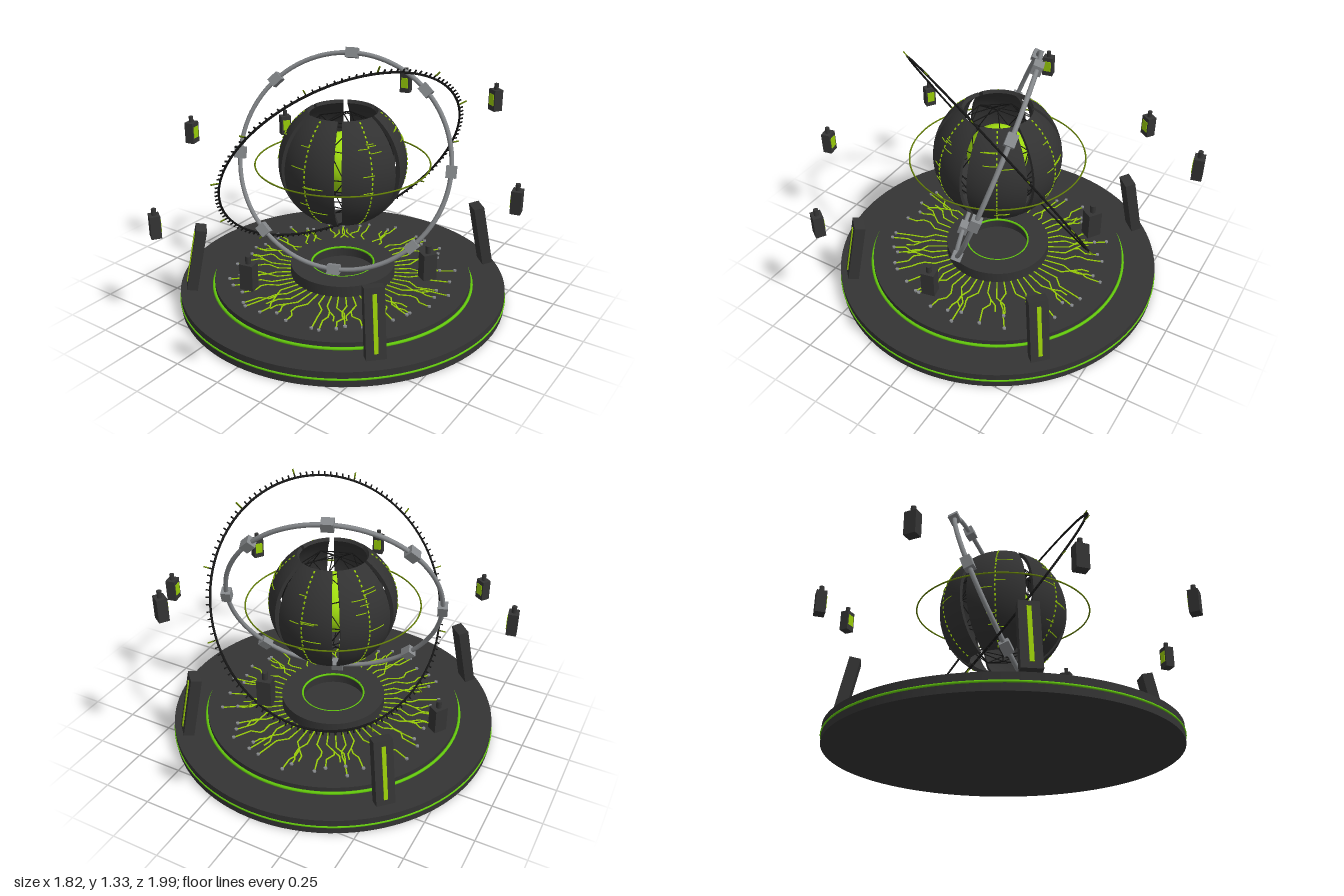
import * as THREE from 'three';
import { mergeGeometries, toCreasedNormals } from 'three/addons/utils/BufferGeometryUtils.js';

const mat = (name, color, side = THREE.FrontSide) => {
  const m = new THREE.MeshStandardMaterial({ color, side });
  m.name = name;
  return m;
};
const V = (x, y, z) => new THREE.Vector3(x, y, z);

// Small seeded random source
let seed = 7;
const rnd = (a = 0, b = 1) => {
  seed = (seed * 16807) % 2147483647;
  return a + (b - a) * (seed / 2147483647);
};

// Thin rod between two points
function rod(a, b, r, sides = 4) {
  const d = b.clone().sub(a);
  const g = new THREE.CylinderGeometry(r, r, d.length(), sides);
  g.applyQuaternion(new THREE.Quaternion().setFromUnitVectors(V(0, 1, 0), d.normalize()));
  const m = a.clone().add(b).multiplyScalar(0.5);
  return g.translate(m.x, m.y, m.z);
}

export function createModel() {
  const dark = mat('charcoal', 0x343434);
  const shellMat = mat('shell grey', 0x323232, THREE.DoubleSide);
  const black = mat('black', 0x161616);
  const steel = mat('steel grey', 0x85888b);
  const lime = mat('lime green', 0x62c80c);
  const leaf = mat('yellow green', 0x98cc08);
  const glow = mat('core green', 0xa2e010);
  const olive = mat('olive green', 0x647f08);

  const model = new THREE.Group();
  const add = (name, geo, material, parent = model) => {
    const m = new THREE.Mesh(geo, material);
    m.name = name;
    parent.add(m);
    return m;
  };
  const group = (name, parent = model) => {
    const g = new THREE.Group();
    g.name = name;
    parent.add(g);
    return g;
  };
  const flatRing = (r, t, y) => new THREE.TorusGeometry(r, t, 8, 96).rotateX(Math.PI / 2).translate(0, y, 0);

  // Base tiers and glowing rims
  add('baseDisc', new THREE.CylinderGeometry(0.86, 0.86, 0.08, 96).translate(0, 0.04, 0), dark);
  add('baseTier', new THREE.CylinderGeometry(0.68, 0.68, 0.035, 96).translate(0, 0.0975, 0), dark);
  add('baseRim', flatRing(0.859, 0.006, 0.04), lime);
  add('tierRim', flatRing(0.686, 0.008, 0.085), lime);
  const collar = [[0.17, 0.115], [0.277, 0.115], [0.277, 0.175], [0.17, 0.175], [0.17, 0.115]]
    .map(([x, y]) => new THREE.Vector2(x, y));
  add('pedestal', toCreasedNormals(new THREE.LatheGeometry(collar, 64), 0.6), dark);
  add('pedestalRim', flatRing(0.166, 0.006, 0.17), lime);

  // Circuit traces on the tier, each ending in a round pad
  const traces = [], pads = [];
  const polar = (r, a) => V(r * Math.sin(a), 0.1165, r * Math.cos(a));
  const trace = (pts) => pts.slice(1).forEach((p, i) => {
    const d = p.clone().sub(pts[i]), mid = p.clone().add(pts[i]).multiplyScalar(0.5);
    traces.push(new THREE.BoxGeometry(0.007, 0.004, d.length() + 0.004)
      .rotateY(Math.atan2(d.x, d.z)).translate(mid.x, mid.y, mid.z));
  });
  const COUNT = 48;
  for (let i = 0; i < COUNT; i++) {
    const a = (i / COUNT) * Math.PI * 2, jog = rnd() < 0.5 ? -1 : 1;
    const r1 = rnd(0.35, 0.4), r2 = r1 + 0.05, r3 = r2 + rnd(0.02, 0.05), end = rnd(0.52, 0.61);
    const a2 = a + jog * rnd(0.05, 0.1), a3 = a2 - jog * rnd(0, 0.08);
    trace([polar(0.28, a), polar(r1, a), polar(r2, a2), polar(r3, a2), polar(r3 + 0.035, a3), polar(end, a3)]);
    const p = polar(end, a3);
    pads.push(new THREE.CylinderGeometry(0.009, 0.009, 0.008, 10).translate(p.x, 0.119, p.z));
    if (i % 3 === 0) trace([polar(r2, a2), polar(r2 + 0.04, a2 + jog * 0.06), polar(r2 + 0.08, a2 + jog * 0.06)]);
  }
  add('circuitTraces', mergeGeometries(traces), leaf);
  add('circuitPads', mergeGeometries(pads), steel);

  // Four pillars leaning inward
  for (let i = 0; i < 4; i++) {
    const arm = group('pillar', group('pillarMount'));
    arm.parent.rotation.y = Math.PI / 4 + i * Math.PI / 2;
    arm.position.set(0, 0.272, 0.765);
    arm.rotation.x = -0.2;
    add('pillarBody', new THREE.BoxGeometry(0.095, 0.34, 0.055), dark, arm);
    add('pillarStrip', new THREE.BoxGeometry(0.02, 0.28, 0.006).translate(0, 0, 0.029), leaf, arm);
  }

  // Sphere: glowing core inside a wire cage
  const sphere = group('sphere');
  sphere.position.y = 0.745;
  add('core', new THREE.SphereGeometry(0.155, 32, 20), glow, sphere);
  const ico = new THREE.IcosahedronGeometry(0.265, 1).rotateZ(Math.atan(2 / (1 + Math.sqrt(5))));
  const ends = new THREE.EdgesGeometry(ico, 1).attributes.position;
  const rods = [];
  for (let i = 0; i < ends.count; i += 2) {
    rods.push(rod(new THREE.Vector3().fromBufferAttribute(ends, i),
      new THREE.Vector3().fromBufferAttribute(ends, i + 1), 0.0028));
  }
  add('wireCage', mergeGeometries(rods), black, sphere);

  // Six curved shell panels with gaps between them
  const R = 0.327, RI = 0.308, LAT = 1.0, HALF = 0.462;
  const profile = [];
  for (let i = 0; i <= 20; i++) {
    const t = -LAT + (i / 20) * 2 * LAT;
    profile.push(new THREE.Vector2(R * Math.cos(t), R * Math.sin(t)));
  }
  for (let i = 0; i <= 20; i++) {
    const t = LAT - (i / 20) * 2 * LAT;
    profile.push(new THREE.Vector2(RI * Math.cos(t), RI * Math.sin(t)));
  }
  const side = new THREE.ShapeGeometry(new THREE.Shape(profile));
  const panelGeo = toCreasedNormals(
    new THREE.LatheGeometry([...profile, profile[0].clone()], 14, -HALF, HALF * 2), 0.6);
  for (let k = 0; k < 6; k++) {
    const panel = group('shellPanel', sphere);
    panel.rotation.y = k * Math.PI / 3;
    add('panelShell', panelGeo, shellMat, panel);
    for (const s of [-1, 1]) add('panelEdge', side, shellMat, panel).rotation.y = s * HALF - Math.PI / 2;
    // Dotted centre line and short horizontal dashes
    const marks = [];
    for (let i = 0; i < 25; i++) {
      marks.push(new THREE.BoxGeometry(0.007, 0.012, 0.005).translate(0, 0, R + 0.0005)
        .rotateX(-0.94 + i * 0.0783));
    }
    for (let i = 0; i < 6; i++) {
      const lat = rnd(-0.7, 0.7), arc = rnd(0.15, 0.32), start = i % 2 ? 0 : -arc;
      marks.push(new THREE.TorusGeometry((R + 0.001) * Math.cos(lat), 0.0025, 5, 10, arc)
        .rotateX(Math.PI / 2).rotateY(-Math.PI / 2 + arc + start + rnd(-0.05, 0.05))
        .translate(0, (R + 0.001) * Math.sin(lat), 0));
    }
    add('panelMarks', mergeGeometries(marks), leaf, panel);
  }
  add('equatorRing', new THREE.TorusGeometry(0.445, 0.004, 6, 96).rotateX(Math.PI / 2), olive, sphere);

  // Tilted orbit frames: local z is the ring axis
  const orbit = (name, u, v) => {
    const g = group(name, sphere);
    u.normalize();
    v.normalize();
    g.quaternion.setFromRotationMatrix(new THREE.Matrix4().makeBasis(u, v, u.clone().cross(v)));
    return g;
  };
  const around = (n, make) => mergeGeometries(
    Array.from({ length: n }, (_, i) => make().rotateZ((i / n) * Math.PI * 2)));

  // Steel ring with eight block nodes
  const nodeRing = orbit('nodeRing', V(0.94, 0, -0.342), V(-0.117, 0.94, -0.321));
  add('nodeRingBand', new THREE.TorusGeometry(0.553, 0.012, 8, 96), steel, nodeRing);
  add('nodeBlocks', around(8, () => new THREE.BoxGeometry(0.05, 0.062, 0.05).translate(0.553, 0, 0)), steel, nodeRing);

  // Toothed black ring with twelve longer spikes
  const axis = V(0.73, -0.54, 0.417).normalize();
  const top = V(0, 1, 0).addScaledVector(axis, -axis.y).normalize();
  const toothRing = orbit('toothRing', top, axis.clone().cross(top));
  add('toothRingBand', new THREE.TorusGeometry(0.652, 0.006, 6, 120), black, toothRing);
  add('teeth', around(120, () => new THREE.BoxGeometry(0.018, 0.006, 0.006).translate(0.664, 0, 0)), black, toothRing);
  add('spikes', around(12, () => new THREE.BoxGeometry(0.042, 0.006, 0.006).translate(0.677, 0, 0)), olive, toothRing);

  // Floating pods with a screen facing the centre
  const pods = [
    [-0.2, 0.9, -0.965], [0.485, 0.97, -0.74], [0.875, 0.68, -0.18], [0.788, 0.63, 0.525],
    [0.19, 0.595, 0.965], [-0.54, 0.555, 0.8], [-0.88, 0.78, 0.175], [-0.775, 0.65, -0.51],
  ];
  for (const [x, y, z] of pods) {
    const pod = group('pod');
    pod.position.set(x, y, z);
    pod.rotation.y = Math.atan2(-x, -z);
    add('podBody', new THREE.BoxGeometry(0.06, 0.115, 0.05), dark, pod);
    add('podCap', new THREE.CylinderGeometry(0.012, 0.012, 0.034, 12).translate(0, 0.073, 0), dark, pod);
    add('podScreen', new THREE.BoxGeometry(0.042, 0.062, 0.004).translate(0, 0.003, 0.026), leaf, pod);
  }
  return model;
}
